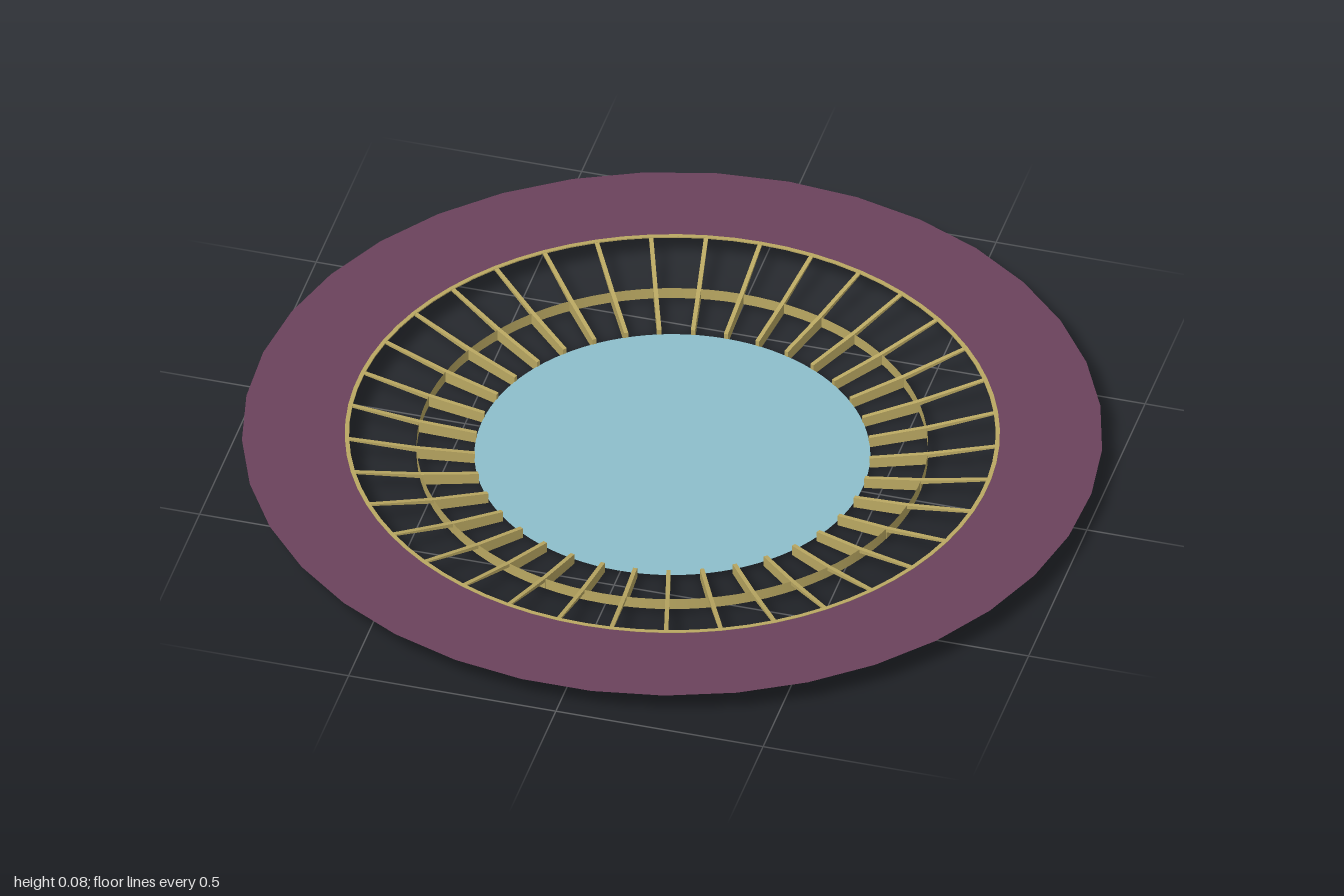
import * as THREE from 'three';

export function createModel() {
  const model = new THREE.Group();
  model.name = 'spokedDish';

  const plum = new THREE.MeshStandardMaterial({ name: 'plum', color: 0x6b425c, side: THREE.DoubleSide });
  const gold = new THREE.MeshStandardMaterial({ name: 'gold', color: 0xbaa862, side: THREE.DoubleSide });
  const paleBlue = new THREE.MeshStandardMaterial({ name: 'paleBlue', color: 0x8dbfcb, side: THREE.DoubleSide });

  const COUNT = 37;
  const RIM_Y = 0.074;

  function add(name, geometry, material, y = 0) {
    const mesh = new THREE.Mesh(geometry, material);
    mesh.name = name;
    mesh.position.y = y;
    model.add(mesh);
    return mesh;
  }

  // Flat outer ring, with a corner pointing to the back
  const ring = new THREE.RingGeometry(0.76, 1, COUNT, 1, Math.PI / 2);
  ring.rotateX(-Math.PI / 2);
  add('outerRing', ring, plum, RIM_Y);

  // Central disc
  const disc = new THREE.CircleGeometry(0.46, 96);
  disc.rotateX(-Math.PI / 2);
  add('centreDisc', disc, paleBlue, 0.013);

  // Thin trim where the spokes meet the outer ring
  const trim = [[0.751, -0.002], [0.761, -0.002], [0.761, 0.001], [0.751, 0.001], [0.751, -0.002]]
    .map(([r, y]) => new THREE.Vector2(r, y));
  const trimGeometry = new THREE.LatheGeometry(trim, COUNT * 2, Math.PI).toNonIndexed();
  trimGeometry.computeVertexNormals();
  add('rimTrim', trimGeometry, gold, RIM_Y);

  // Upright hoop halfway along the spokes
  add('hoop', new THREE.CylinderGeometry(0.594, 0.594, 0.029, 96, 1, true), gold, 0.0305);

  // Spokes: deep near the disc, slender outside the hoop
  const side = new THREE.Shape([
    [0.459, 0], [0.594, 0.016], [0.594, 0.035], [0.755, 0.071],
    [0.755, 0.075], [0.594, 0.045], [0.459, 0.027],
  ].map(([r, y]) => new THREE.Vector2(r, y)));
  const spoke = new THREE.ExtrudeGeometry(side, { depth: 0.01, bevelEnabled: false });
  spoke.translate(0, 0, -0.005);
  for (let i = 0; i < COUNT; i++) {
    add('spoke', spoke, gold).rotation.y = Math.PI / 2 + (i / COUNT) * Math.PI * 2;
  }

  return model;
}
